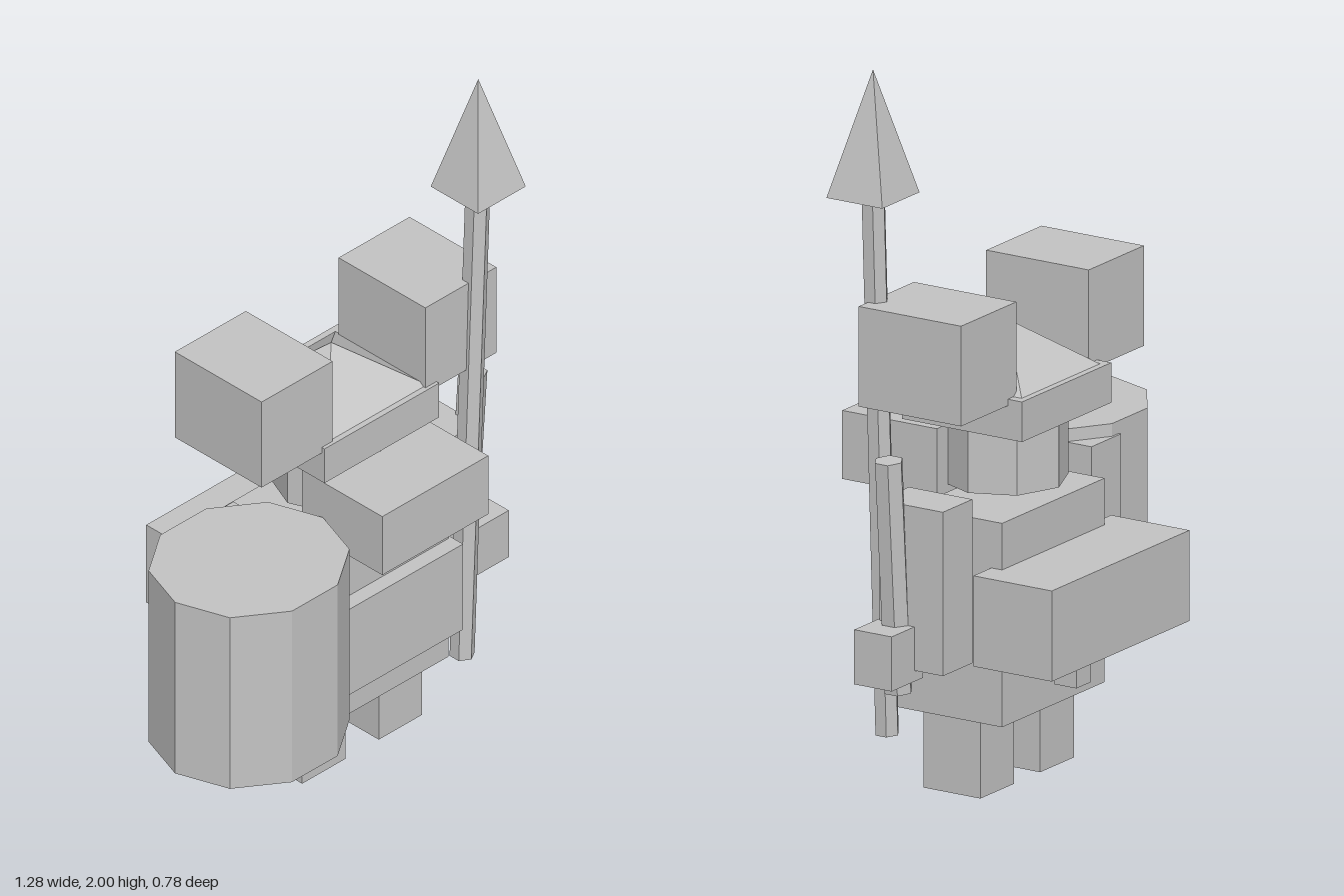
import * as THREE from 'three';

export function createModel() {
  const group = new THREE.Group();
  const gray = new THREE.MeshStandardMaterial({ color: 0xc4c4c4, flatShading: true });
  gray.name = 'plain gray';
  const MID = 0.107; // the body's own centre line

  function add(name, geometry, x, y, z) {
    const mesh = new THREE.Mesh(geometry, gray);
    mesh.name = name;
    mesh.position.set(x, y, z);
    group.add(mesh);
    return mesh;
  }

  // Box given by its low and high limits on each axis
  function box(name, [x0, x1], [y0, y1], [z0, z1]) {
    return add(name, new THREE.BoxGeometry(x1 - x0, y1 - y0, z1 - z0),
      (x0 + x1) / 2, (y0 + y1) / 2, (z0 + z1) / 2);
  }

  // Four-sided point with its base square to the axes
  function pyramid(name, width, height, depth, x, y, z) {
    const g = new THREE.ConeGeometry(Math.SQRT1_2, 1, 4, 1, false, Math.PI / 4);
    g.scale(width, height, depth);
    return add(name, g, x, y + height / 2, z);
  }

  // Six-sided rod between two points
  function rod(name, radius, from, to) {
    const a = new THREE.Vector3(...from), b = new THREE.Vector3(...to);
    const dir = b.clone().sub(a);
    const mesh = add(name, new THREE.CylinderGeometry(radius, radius, dir.length(), 6),
      ...a.add(b).multiplyScalar(0.5).toArray());
    mesh.quaternion.setFromUnitVectors(new THREE.Vector3(0, 1, 0), dir.normalize());
    return mesh;
  }

  // Torso and belly plate
  box('torso', [-0.138, 0.35], [0.215, 0.775], [-0.177, 0.162]);
  box('bellyPlate', [-0.117, 0.36], [0.32, 0.595], [0.12, 0.207]);

  // Legs, arms and raised shoulder blocks on both sides
  for (const side of [-1, 1]) {
    const label = side > 0 ? 'left' : 'right';
    const span = (near, far) => [MID + side * near, MID + side * far].sort((a, b) => a - b);
    box(label + 'Leg', span(0.062, 0.222), [0, 0.215], [-0.095, 0.085]);
    box(label + 'Arm', span(0.283, 0.423), [0.39, 0.84], [-0.11, 0.09]);
    box(label + 'ShoulderBlock', span(0.172, 0.435), [1.09, 1.365], [-0.175, 0.148]);
  }

  // Head with jutting beard, and the pointed hat
  add('head', new THREE.CylinderGeometry(0.172, 0.172, 0.185, 8), 0.115, 0.91, -0.028);
  box('beard', [-0.09, 0.303], [0.795, 0.983], [0.06, 0.358]);
  box('hatBrim', [-0.105, 0.32], [0.998, 1.108], [-0.22, 0.158]);
  pyramid('hatPoint', 0.372, 0.143, 0.342, MID, 1.108, -0.03);

  // Backpack with the small block under it
  box('backpack', [-0.22, 0.435], [0.398, 0.647], [-0.39, -0.143]);
  box('backpackStud', [0.195, 0.265], [0.33, 0.398], [-0.355, -0.285]);

  // Drum at the right side
  const drum = new THREE.CylinderGeometry(0.274, 0.274, 0.55, 10, 1, false, Math.PI / 10);
  drum.scale(1, 1, 0.94);
  add('drum', drum, -0.369, 0.6, 0.142);

  // Hand holding a short rod
  box('hand', [0.49, 0.638], [0.36, 0.51], [-0.02, 0.098]);
  rod('shortRod', 0.04, [0.516, 0.32, 0.04], [0.562, 0.965, 0.04]);

  // Tall spear
  rod('spearShaft', 0.034, [0.432, 0.167, 0.131], [0.477, 1.66, 0.145]);
  pyramid('spearHead', 0.177, 0.345, 0.176, 0.478, 1.655, 0.145);

  return group;
}
